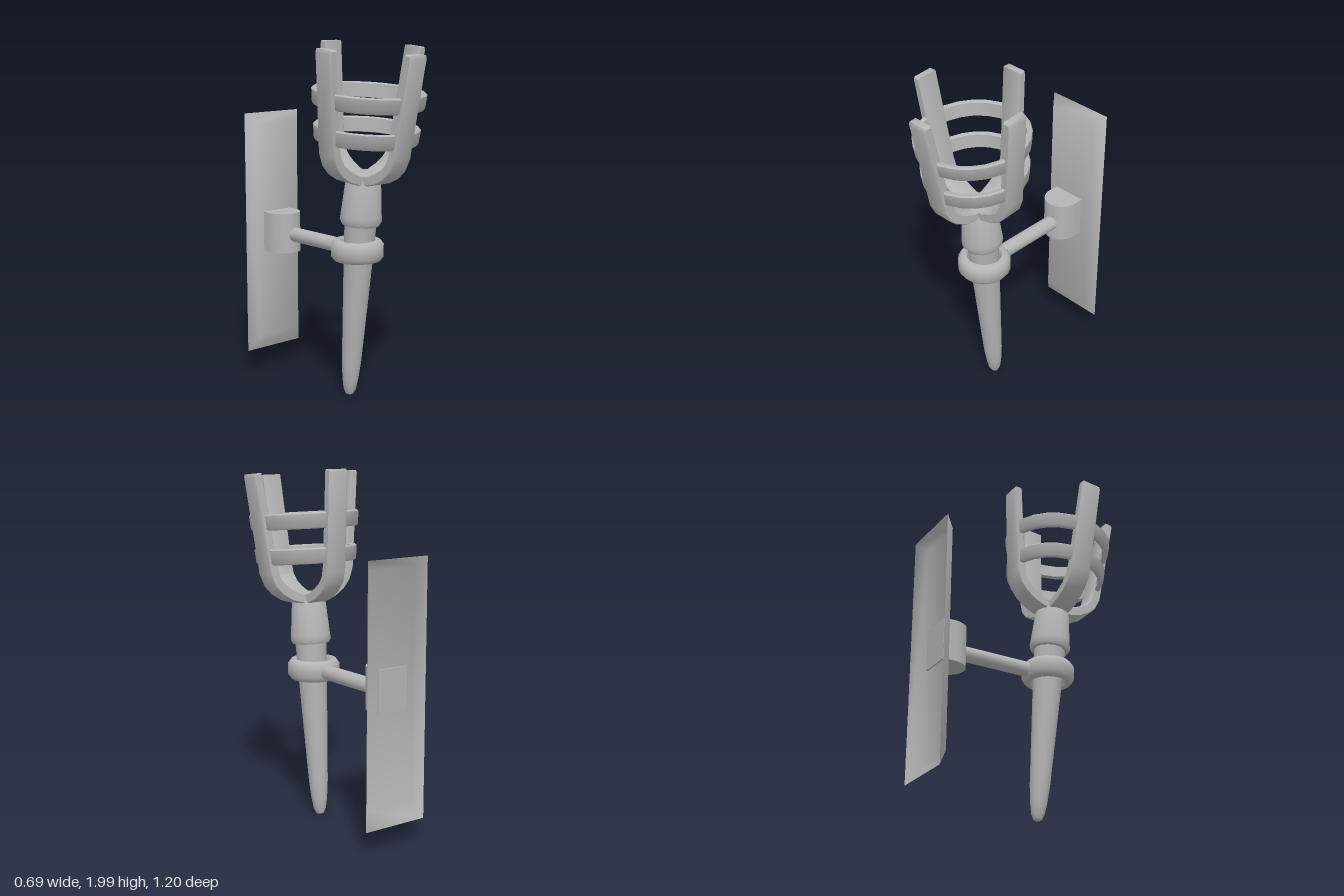
import * as THREE from 'three';
import { toCreasedNormals } from 'three/addons/utils/BufferGeometryUtils.js';

const metal = new THREE.MeshStandardMaterial({ color: 0xb5b5b5, side: THREE.DoubleSide });
metal.name = 'grey metal';

function part(name, geometry, parent, crease = 0.8) {
  const mesh = new THREE.Mesh(toCreasedNormals(geometry, crease), metal);
  mesh.name = name;
  parent.add(mesh);
  return mesh;
}

const vectors = (points) => points.map(([x, y]) => new THREE.Vector2(x, y));
const lathe = (points, sides) => new THREE.LatheGeometry(vectors(points), sides);

// Hollow, bevelled wall plate: wide open back rim, smaller front face
function plateGeometry() {
  const back = [[-0.197, 0.14], [0.197, 0.14], [0.197, 1.57], [-0.197, 1.57]];
  const front = [[-0.155, 0.235], [0.15, 0.235], [0.15, 1.515], [-0.155, 1.515]];
  const corners = [...back.map((p) => [...p, -0.6]), ...front.map((p) => [...p, -0.547])];
  const index = [4, 5, 6, 4, 6, 7];
  for (let i = 0; i < 4; i++) {
    const j = (i + 1) % 4;
    index.push(i, j, 4 + j, i, 4 + j, 4 + i);
  }
  const geometry = new THREE.BufferGeometry();
  geometry.setAttribute('position', new THREE.Float32BufferAttribute(corners.flat(), 3));
  geometry.setIndex(index);
  return geometry;
}

// Block with a rounded front, drawn from above and extruded upward
function blockGeometry() {
  const shape = new THREE.Shape();
  shape.moveTo(0.086, 0.556);
  shape.lineTo(-0.106, 0.556);
  shape.lineTo(-0.11, 0.49);
  shape.absellipse(-0.01, 0.49, 0.1, 0.108, Math.PI, Math.PI * 2, false);
  shape.closePath();
  const geometry = new THREE.ExtrudeGeometry(shape, { depth: 0.235, bevelEnabled: false, curveSegments: 8 });
  return geometry.rotateX(-Math.PI / 2).translate(0, 0.755, 0);
}

// U-shaped strap forming two opposite prongs
function strapGeometry() {
  const outer = [[0.09, 1.243], [0.15, 1.262], [0.212, 1.3], [0.257, 1.35], [0.285, 1.42], [0.347, 1.955], [0.342, 1.97]];
  const inner = [[0.303, 1.972], [0.234, 1.45], [0.219, 1.395], [0.188, 1.357], [0.14, 1.325], [0.08, 1.297]];
  const half = [...outer, ...inner];
  const mirrored = half.map(([x, y]) => [-x, y]).reverse();
  const shape = new THREE.Shape(vectors([...half, ...mirrored]));
  return new THREE.ExtrudeGeometry(shape, {
    depth: 0.108, bevelThickness: 0.007, bevelSize: 0.006, bevelOffset: -0.006, bevelSegments: 1,
  }).translate(0, 0, -0.054);
}

export function createModel() {
  const model = new THREE.Group();
  model.name = 'wallTorch';

  // Wall mount, softly shaded across the plate's bevels
  part('wallPlate', plateGeometry(), model, Math.PI);
  part('mountBlock', blockGeometry(), model);
  const arm = part('supportArm', new THREE.CylinderGeometry(0.042, 0.042, 0.42, 16), model);
  arm.rotation.x = Math.PI / 2;
  arm.position.set(-0.002, 0.862, -0.185);

  // Level holding ring
  const ring = part('holdingRing', lathe([
    [0.1, -0.057], [0.128, -0.057], [0.147, -0.032], [0.147, 0.032],
    [0.128, 0.057], [0.1, 0.057], [0.088, 0.035], [0.088, -0.035], [0.1, -0.057],
  ], 20), model, 1);
  ring.position.set(-0.007, 0.863, 0.153);

  // Torch leaning forward
  const torch = new THREE.Group();
  torch.name = 'torch';
  torch.position.set(0, 0.006, 0.083);
  torch.rotation.x = 0.087;
  model.add(torch);

  part('handle', lathe([
    [0, 0.002], [0.022, 0.006], [0.036, 0.035], [0.046, 0.1], [0.055, 0.2], [0.079, 0.75], [0.09, 1.04],
  ], 14), torch);

  // Collar, its top rising into the hub where the prongs meet
  part('collar', lathe([
    [0.07, 1.005], [0.105, 1.008], [0.116, 1.03], [0.113, 1.06], [0.098, 1.235], [0.09, 1.255], [0.08, 1.285], [0, 1.288],
  ], 16), torch);

  // Basket prongs
  ['sideProngs', 'frontBackProngs'].forEach((name, i) => {
    part(name, strapGeometry(), torch).rotation.y = i * Math.PI / 2;
  });

  // Basket hoops, flaring with the prongs
  [['lowerHoop', 1.513, 0.286], ['upperHoop', 1.704, 0.306]].forEach(([name, y, r]) => {
    part(name, lathe([
      [r - 0.034, y - 0.038], [r - 0.012, y - 0.044], [r - 0.003, y - 0.036], [r + 0.004, y + 0.036],
      [r - 0.004, y + 0.044], [r - 0.026, y + 0.038], [r - 0.034, y - 0.038],
    ], 24), torch);
  });

  return model;
}
